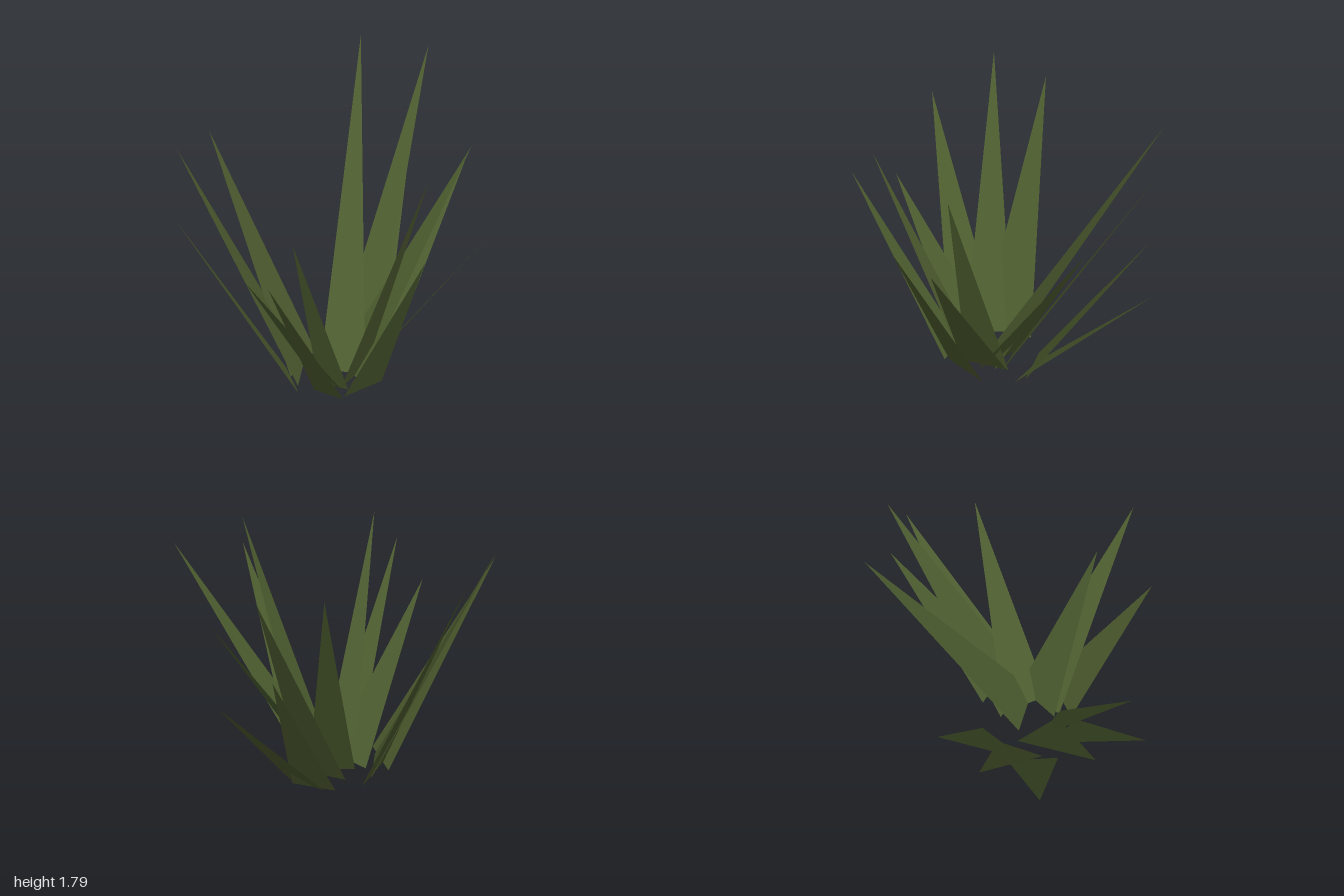
import * as THREE from 'three';

// Each blade: tip x, y, z, then base centre x, z, then base width
const BLADES = [
  [0.40, 1.79, -0.88, 0.06, 0.10, 0.28],
  [0.79, 1.75, -0.73, 0.13, 0.04, 0.29],
  [0.68, 1.16, -0.71, 0.23, -0.08, 0.28],
  [1.00, 0.98, -0.61, 0.265, -0.035, 0.27],
  [0.94, 1.34, -0.19, 0.10, 0.10, 0.29],
  [0.87, 1.36, 0.78, 0.12, 0.19, 0.29],
  [0.50, 1.61, 0.55, 0.115, 0.17, 0.29],
  [0.40, 1.23, 0.88, 0.14, 0.315, 0.29],
  [-0.40, 1.39, 0.74, -0.03, 0.245, 0.20],
  [-0.57, 1.14, 0.82, -0.08, 0.33, 0.21],
  [-0.64, 1.00, 0.51, -0.065, 0.17, 0.29],
  [-1.00, 1.29, 0.16, -0.26, 0.135, 0.31],
  [-0.91, 1.57, -0.21, -0.19, 0.06, 0.29],
  [-0.65, 1.51, -0.46, -0.155, -0.04, 0.33],
];

// A flat pointed leaf whose base lies on the ground, square to its lean
function bladeGeometry([tx, ty, tz, bx, bz, width]) {
  const tip = new THREE.Vector3(tx, ty, tz);
  const base = new THREE.Vector3(bx, 0, bz);
  const side = new THREE.Vector3(tz - bz, 0, bx - tx).setLength(width / 2);
  const geometry = new THREE.BufferGeometry().setFromPoints([
    base.clone().add(side), tip, base.clone().sub(side),
  ]);
  // Front face turned up and inward
  geometry.setIndex([0, 2, 1]);
  geometry.computeVertexNormals();
  return geometry;
}

export function createModel() {
  const leafGreen = new THREE.MeshStandardMaterial({ color: 0x4d5d2f, side: THREE.DoubleSide });
  leafGreen.name = 'leafGreen';

  const plant = new THREE.Group();
  plant.name = 'spikyPlant';
  BLADES.forEach((blade, i) => {
    const mesh = new THREE.Mesh(bladeGeometry(blade), leafGreen);
    mesh.name = `leafBlade${i + 1}`;
    plant.add(mesh);
  });
  return plant;
}
